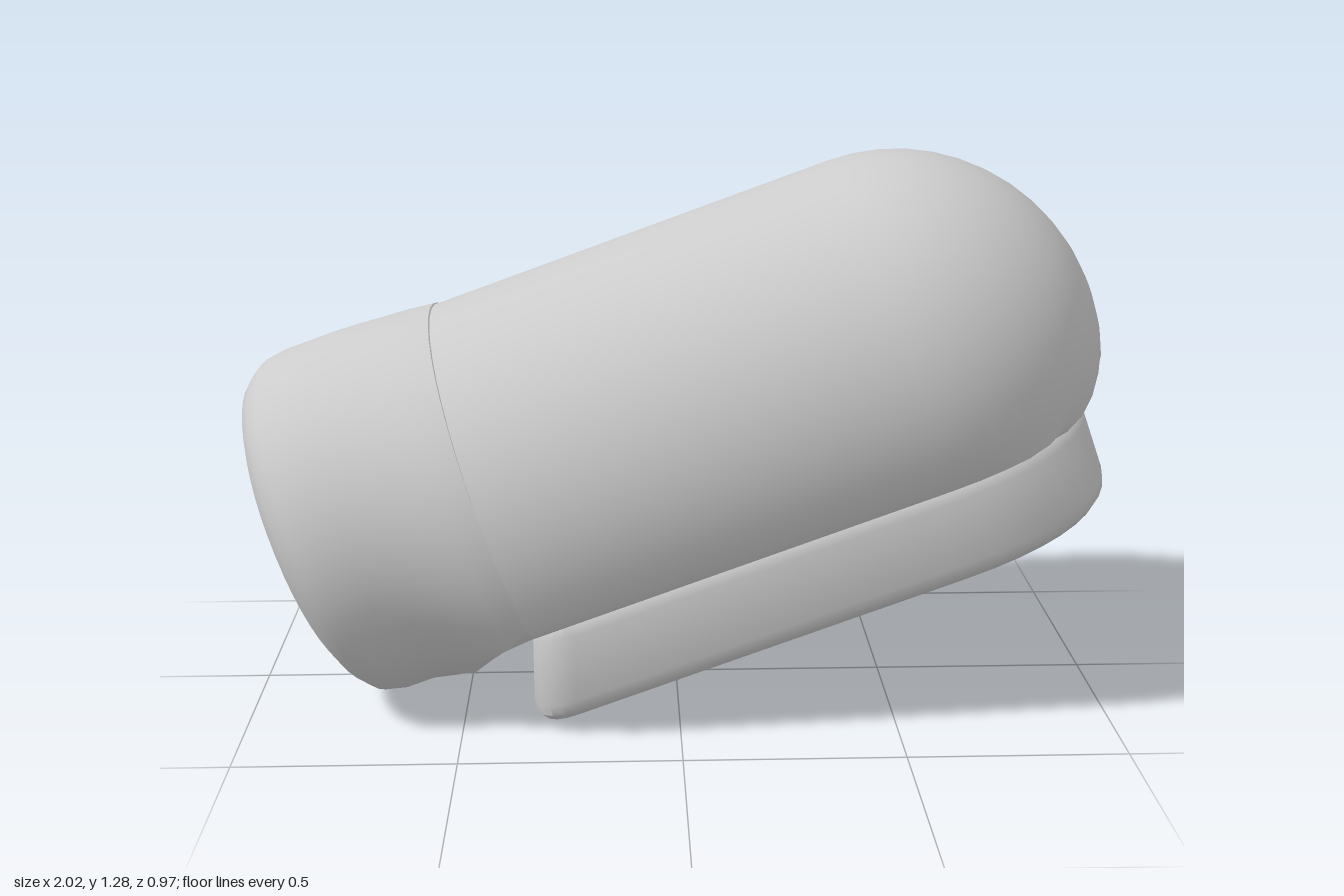
import * as THREE from 'three';
import { toCreasedNormals } from 'three/addons/utils/BufferGeometryUtils.js';

const SIDES = 48;
const material = new THREE.MeshStandardMaterial({ color: 0xcccccc });

// Round sections along x: [x, centre height, radius, floor height that cuts the underside flat]
function loft(sections) {
  const pos = [], index = [];
  sections.forEach(([x, c, r, floor]) => {
    for (let j = 0; j < SIDES; j++) {
      const t = (j / SIDES) * Math.PI * 2;
      pos.push(x, Math.max(c + r * Math.cos(t), floor), r * Math.sin(t));
    }
  });
  for (let i = 0; i < sections.length - 1; i++) {
    for (let j = 0; j < SIDES; j++) {
      const k = (j + 1) % SIDES;
      const a = i * SIDES + j, b = i * SIDES + k, c = a + SIDES, d = b + SIDES;
      if (sections[i][2] > 0) index.push(a, b, c);
      if (sections[i + 1][2] > 0) index.push(b, d, c);
    }
  }
  const g = new THREE.BufferGeometry();
  g.setAttribute('position', new THREE.Float32BufferAttribute(pos, 3));
  g.setIndex(index);
  return toCreasedNormals(g, 0.7);
}

function addMesh(parent, name, geometry) {
  const mesh = new THREE.Mesh(geometry, material);
  mesh.name = name;
  parent.add(mesh);
}

// Long barrel with a domed nose and a flat underside
function shellGeometry() {
  const floor = 0.366, centre = 0.582, radius = 0.485, noseStart = 0.765, noseLength = 0.475;
  const sections = [[-0.22, centre, 0, floor], [-0.22, centre, radius, floor]];
  for (let i = 0; i <= 12; i++) {
    const t = (i / 12) * Math.PI / 2;
    const x = noseStart + noseLength * Math.sin(t);
    // the underside curls up towards the tip
    const lift = Math.max(0, x - 1.07);
    sections.push([x, centre, i === 12 ? 0 : radius * Math.cos(t), floor + 0.3 * lift + 2.6 * lift * lift]);
  }
  return loft(sections);
}

// Rounded rear end whose lower lip sweeps down into a foot
function rearGeometry() {
  return loft([
    [-0.70, 0.69, 0, 0], [-0.70, 0.69, 0.33, 0], [-0.69, 0.68, 0.365, 0],
    [-0.67, 0.668, 0.395, 0], [-0.64, 0.662, 0.42, 0], [-0.59, 0.66, 0.43, 0],
    [-0.52, 0.66, 0.43, 0.232], [-0.46, 0.653, 0.437, 0.25], [-0.40, 0.638, 0.449, 0.28],
    [-0.34, 0.618, 0.464, 0.318], [-0.28, 0.599, 0.479, 0.35], [-0.22, 0.587, 0.484, 0.366],
    [-0.21, 0.582, 0.47, 0.37], [-0.21, 0.582, 0, 0.37],
  ]);
}

// Bevelled tray: rounded front, squarer back that leans with height
function trayGeometry() {
  const bevel = 0.05, half = 0.37 - bevel, back = -0.27 + bevel, start = 0.72, reach = 0.42 - bevel;
  const shape = new THREE.Shape();
  shape.moveTo(back, -half + 0.06);
  shape.quadraticCurveTo(back, -half, back + 0.06, -half);
  for (let i = 0; i <= 20; i++) {
    const t = (i / 20 - 0.5) * Math.PI;
    const s = Math.sin(t);
    shape.lineTo(start + reach * Math.pow(Math.max(0, Math.cos(t)), 0.84),
      half * Math.sign(s) * Math.pow(Math.abs(s), 0.84));
  }
  shape.lineTo(back + 0.06, half);
  shape.quadraticCurveTo(back, half, back, half - 0.06);
  shape.closePath();
  const g = new THREE.ExtrudeGeometry(shape, {
    depth: 0.248 - 2 * bevel, bevelEnabled: true, bevelSize: bevel,
    bevelThickness: bevel, bevelSegments: 3, curveSegments: 5,
  });
  g.rotateX(-Math.PI / 2);
  g.translate(0, 0.122 + bevel, 0);
  const p = g.attributes.position;
  for (let i = 0; i < p.count; i++) {
    if (p.getX(i) < 0) p.setX(i, p.getX(i) + (p.getY(i) - 0.246) * 0.36);
  }
  return toCreasedNormals(g, 0.6);
}

export function createModel() {
  const model = new THREE.Group();
  model.name = 'model';
  // Everything is built level, then tipped nose-up
  const tilted = new THREE.Group();
  tilted.name = 'tiltedBody';
  tilted.rotation.z = THREE.MathUtils.degToRad(20);
  model.add(tilted);
  addMesh(tilted, 'shell', shellGeometry());
  addMesh(tilted, 'rearFoot', rearGeometry());
  addMesh(tilted, 'tray', trayGeometry());
  return model;
}
